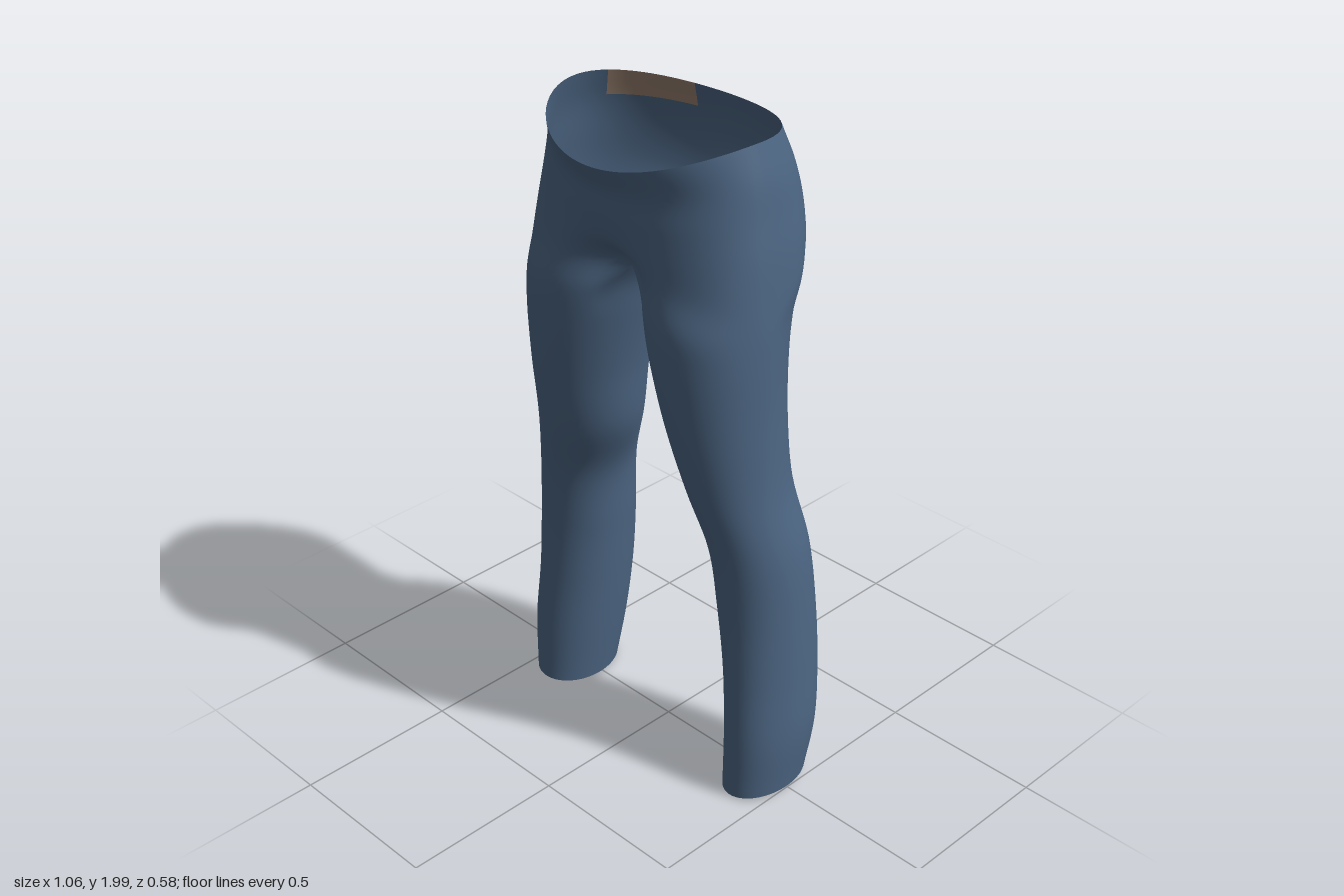
import * as THREE from 'three';

const SEAM = -0.01; // x of the centre seam
const N = 48, M = 14, SUB = 6; // outer columns, inner-leg columns, rows per section

// torso sections: y, half width, front z, back z, front dent, back dent, roundness
const torso = [
  [2.0, 0.345, 0.29, -0.245, 0, 0, 1],
  [1.9, 0.375, 0.243, -0.28, 0, 0.003, 0.95],
  [1.8, 0.393, 0.235, -0.292, 0, 0.006, 0.88],
  [1.7, 0.41, 0.232, -0.27, 0.02, 0.025, 0.8],
  [1.6, 0.42, 0.235, -0.215, 0.1, 0.08, 0.72],
];

// leg sections: y, inner x (right, left), outer x (right, left), front z, back z
const leg = [
  [1.5, 0.03, 0.035, 0.427, 0.427, 0.24, -0.17],
  [1.4, 0.055, 0.058, 0.43, 0.43, 0.24, -0.15],
  [1.2, 0.1, 0.11, 0.43, 0.435, 0.22, -0.135],
  [1.0, 0.135, 0.17, 0.44, 0.45, 0.185, -0.135],
  [0.8, 0.21, 0.225, 0.48, 0.49, 0.14, -0.165],
  [0.6, 0.23, 0.25, 0.505, 0.51, 0.125, -0.18],
  [0.4, 0.245, 0.285, 0.512, 0.525, 0.13, -0.18],
  [0.2, 0.265, 0.31, 0.52, 0.535, 0.145, -0.165],
  [0.02, 0.29, 0.32, 0.505, 0.52, 0.15, -0.135],
];

// angle from front centre (0) round the hip to back centre (PI), denser at the seam
const hipAngle = (t) => Math.PI * t - 0.25 * Math.sin(2 * Math.PI * t);
const power = (v, p) => Math.sign(v) * Math.abs(v) ** p;

function torsoPoint([y, w, zf, zb, df, db, p], t) {
  const a = hipAngle(t), c = Math.cos(a);
  const x = w * Math.max(0, Math.sin(a)) ** p;
  const front = c > 0;
  const dent = (front ? df : db) * Math.exp(-((x / 0.11) ** 2));
  const z = front ? power(c, p) * zf - dent * c : power(c, p) * -zb - dent * c;
  const drop = (front ? 0.08 : 0.03) * c * c * (y - 1.6) / 0.4; // dipping waistline
  return new THREE.Vector3(x, y - drop, z);
}

function legPoint([y, inR, inL, outR, outL, zf, zb], a, side) {
  const xi = side > 0 ? inL : inR, xo = side > 0 ? outL : outR;
  const s = Math.sin(a), c = Math.cos(a);
  const hem = y < 0.1 ? 0.008 * s - 0.006 * c : 0; // slanted hem
  return new THREE.Vector3((xi + xo) / 2 + (xo - xi) / 2 * s, y + hem, (zf + zb) / 2 + (zf - zb) / 2 * c);
}

// smooth columns of points running from waist (or crotch) down to the hem
function columns(side) {
  const open = 0.9, cols = [];
  const first = (torso.length - 1) * SUB;
  const sample = (keys) => {
    const n = (keys.length - 1) * SUB;
    return new THREE.CatmullRomCurve3(keys).getPoints(n);
  };
  for (let i = 0; i <= N; i++) {
    const t = i / N, a = -open + t * (Math.PI + 2 * open);
    const pts = sample([...torso.map((r) => torsoPoint(r, t)), ...leg.map((r) => legPoint(r, a, side))]);
    pts.forEach((p, r) => {
      p.x = (r <= first && (i === 0 || i === N)) ? 0 : Math.max(p.x, 0);
    });
    cols.push(pts);
  }
  const crotchBack = cols[N][first], crotchFront = cols[0][first];
  for (let j = 1; j < M; j++) {
    const t = j / M, a = Math.PI + open + t * (Math.PI - 2 * open);
    const start = crotchBack.clone().lerp(crotchFront, t);
    start.y -= 0.04 * Math.sin(Math.PI * t);
    const pts = sample([start, ...leg.map((r) => legPoint(r, a, side))]);
    pts.forEach((p) => { p.x = Math.max(p.x, 0); });
    cols.push([...new Array(first), ...pts]);
  }
  return { cols, first };
}

export function createModel() {
  const denim = new THREE.MeshStandardMaterial({ color: 0x4c6582, side: THREE.DoubleSide });
  denim.name = 'denimBlue';
  const tan = new THREE.MeshStandardMaterial({ color: 0x967f6e, side: THREE.DoubleSide });
  tan.name = 'patchTan';

  const positions = [], cloth = [], patch = [], seen = new Map();
  const vertex = (p, side) => {
    const v = [SEAM + side * p.x, p.y, p.z];
    const key = v.map((n) => Math.round(n * 1e5)).join();
    if (!seen.has(key)) {
      seen.set(key, positions.length / 3);
      positions.push(...v);
    }
    return seen.get(key);
  };

  for (const side of [1, -1]) {
    const { cols, first } = columns(side);
    const rows = cols[0].length;
    for (let i = 0; i < cols.length; i++) {
      const A = cols[i], B = cols[(i + 1) % cols.length];
      for (let r = i < N ? 0 : first; r < rows - 1; r++) {
        const [a, b, c, d] = [A[r], B[r], B[r + 1], A[r + 1]].map((p) => vertex(p, side));
        // waist patch on the right of the back
        const angle = hipAngle((i + 0.5) / N);
        const inPatch = side < 0 && i < N && r < 5 && angle > Math.PI - 1.17 && angle < Math.PI - 0.35;
        const target = inPatch ? patch : cloth;
        if (side > 0) target.push(a, d, c, a, c, b);
        else target.push(a, c, d, a, b, c);
      }
    }
  }

  const geometry = new THREE.BufferGeometry();
  geometry.setAttribute('position', new THREE.Float32BufferAttribute(positions, 3));
  geometry.setIndex([...cloth, ...patch]);
  geometry.addGroup(0, cloth.length, 0);
  geometry.addGroup(cloth.length, patch.length, 1);
  geometry.computeVertexNormals();

  const trousers = new THREE.Mesh(geometry, [denim, tan]);
  trousers.name = 'trousers';
  const group = new THREE.Group();
  group.name = 'trousersModel';
  group.add(trousers);
  return group;
}
